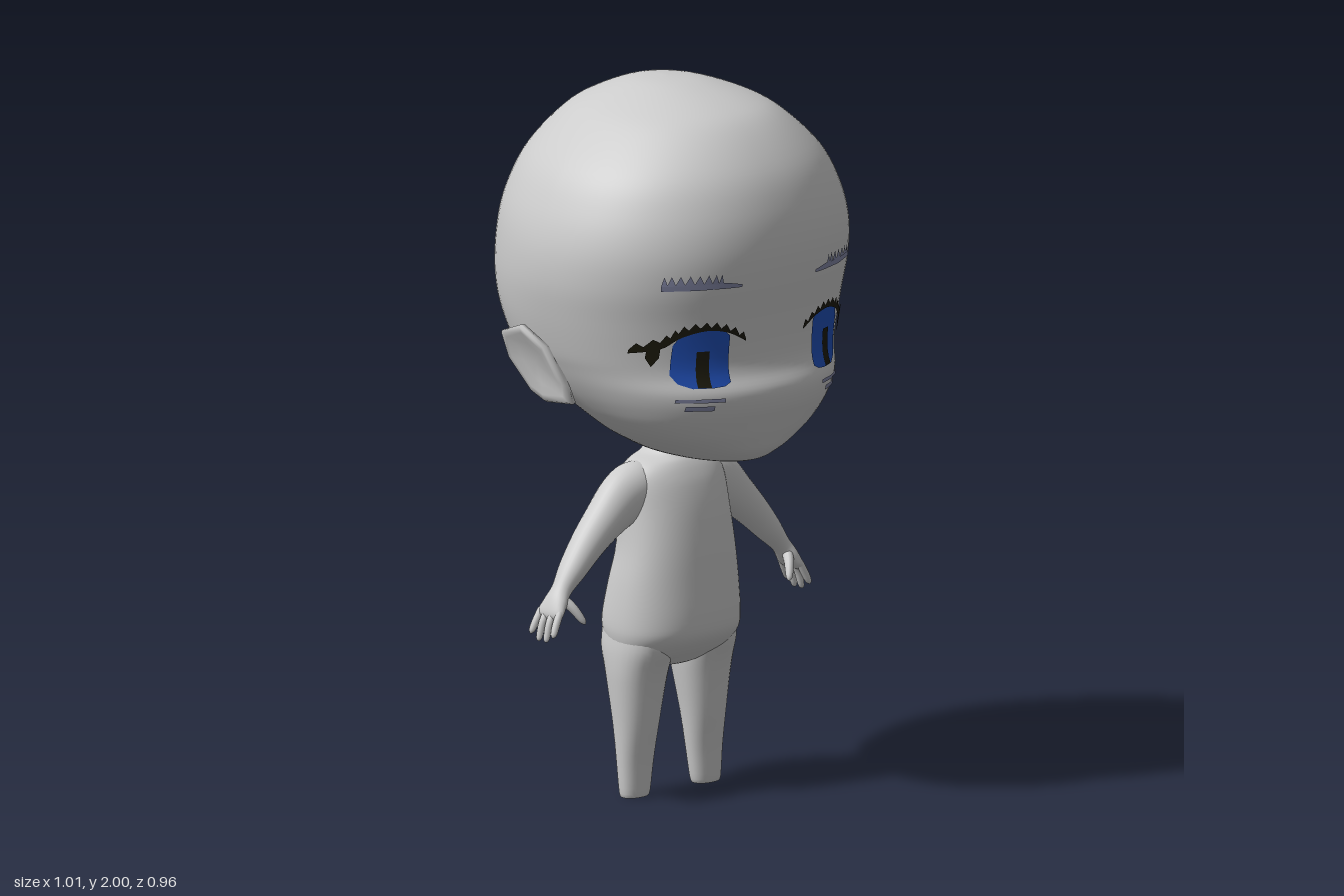
import * as THREE from 'three';
import { mergeVertices } from 'three/addons/utils/BufferGeometryUtils.js';

const paint = (name, color, side = THREE.FrontSide) => {
  const m = new THREE.MeshStandardMaterial({ color, side });
  m.name = name;
  return m;
};

// Smooth interpolation through table rows; t runs from 0 to rows.length - 1
function sample(rows, t) {
  const last = rows.length - 1;
  const i = Math.min(Math.floor(t), last - 1), f = t - i;
  const at = k => rows[Math.max(0, Math.min(last, k))];
  return rows[0].map((_, c) => {
    const [a, b, d, e] = [at(i - 1)[c], at(i)[c], at(i + 1)[c], at(i + 2)[c]];
    return b + 0.5 * f * (d - a + f * (2 * a - 5 * b + 4 * d - e + f * (3 * (b - d) + e - a)));
  });
}

function sampleAll(rows, steps) {
  const n = (rows.length - 1) * steps;
  return Array.from({ length: n + 1 }, (_, i) => sample(rows, i / steps));
}

function build(positions, index) {
  const g = new THREE.BufferGeometry();
  g.setAttribute('position', new THREE.Float32BufferAttribute(positions, 3));
  g.setIndex(index);
  const merged = mergeVertices(g, 1e-5);
  merged.computeVertexNormals();
  return merged;
}

// Skin a list of closed rings
function loft(rings) {
  const n = rings[0].length, index = [];
  for (let r = 0; r < rings.length - 1; r++) {
    for (let i = 0; i < n; i++) {
      const a = r * n + i, b = r * n + (i + 1) % n;
      index.push(a, a + n, b, b, a + n, b + n);
    }
  }
  return build(rings.flat(2), index);
}

// Horizontal superellipse sections: [y, halfWidth, frontZ, backZ, widestZ]
function stack(rows, sides, steps, power, backPower = () => power, centreX = () => 0) {
  const curve = (v, p) => Math.sign(v) * Math.abs(v) ** (2 / p);
  return loft(sampleAll(rows, steps).map(([y, w, f, b, zc = (f + b) / 2]) =>
    Array.from({ length: sides }, (_, i) => {
      const a = i / sides * Math.PI * 2, front = i <= sides / 2, p = front ? power : backPower(y);
      return [centreX(y) + w * curve(Math.cos(a), p), y,
        zc + (front ? f - zc : zc - b) * curve(Math.sin(a), p)];
    })));
}

// Round limb along a path: [x, y, z, radius, depthRadius]
function limb(rows, sides, steps) {
  const path = sampleAll(rows, steps);
  const P = path.map(p => new THREE.Vector3(p[0], p[1], p[2]));
  return loft(path.map((p, k) => {
    const t = P[Math.min(k + 1, P.length - 1)].clone().sub(P[Math.max(k - 1, 0)]).normalize();
    const u = t.clone().cross(new THREE.Vector3(0, 0, 1)).normalize();
    const v = u.clone().cross(t);
    return Array.from({ length: sides }, (_, i) => {
      const a = i / sides * Math.PI * 2;
      return P[k].clone().addScaledVector(u, Math.cos(a) * p[3])
        .addScaledVector(v, Math.sin(a) * p[4]).toArray();
    });
  }));
}

function mirror(g) {
  const m = g.clone().scale(-1, 1, 1), ix = m.index.array;
  for (let i = 0; i < ix.length; i += 3) [ix[i], ix[i + 1]] = [ix[i + 1], ix[i]];
  m.computeVertexNormals();
  return m;
}

// Head sections, neck to crown
const FACE_POWER = 2.12;
const HEAD = [
  [0.94, 0.055, 0.085, -0.057, 0.014], [0.965, 0.06, 0.1, -0.058, 0.02],
  [0.97, 0.1, 0.32, -0.058, 0.13], [1.0, 0.175, 0.39, -0.062, 0.16],
  [1.05, 0.272, 0.425, -0.075, 0.165], [1.1, 0.335, 0.45, -0.115, 0.15],
  [1.15, 0.375, 0.472, -0.19, 0.12], [1.2, 0.405, 0.478, -0.28, 0.09],
  [1.25, 0.428, 0.456, -0.335, 0.065], [1.3, 0.447, 0.45, -0.38, 0.05],
  [1.4, 0.473, 0.46, -0.445, 0.04], [1.5, 0.49, 0.478, -0.475, 0.04],
  [1.6, 0.487, 0.485, -0.475, 0.04], [1.7, 0.458, 0.47, -0.445, 0.035],
  [1.8, 0.402, 0.428, -0.39, 0.03], [1.9, 0.296, 0.342, -0.295, 0.02],
  [1.95, 0.212, 0.253, -0.21, 0.01], [1.99, 0.096, 0.112, -0.1, 0.004], [2, 0, 0, 0, 0],
];
// The back of the skull is boxy near the jaw and narrows higher up
const skullPower = y => 2.16 + 0.34 * Math.cos((Math.min(y, 1.6) - 1.12) * 6.5);

// Front surface of the head at a given x and y
function faceZ(x, y) {
  let lo = 2, hi = HEAD.length - 1;
  for (let k = 0; k < 30; k++) {
    const mid = (lo + hi) / 2;
    if (sample(HEAD, mid)[0] < y) lo = mid; else hi = mid;
  }
  const [, w, f, , zc] = sample(HEAD, lo);
  return zc + (f - zc) * Math.max(0, 1 - Math.abs(x / w) ** FACE_POWER) ** (1 / FACE_POWER);
}

// Painted patch hugging the face; columns are [distance from the face's middle, lowY, highY]
function patch(columns, side, lift) {
  const cols = [], V = 6, pos = [], index = [];
  columns.forEach((c, i) => {
    if (i) cols.push(c.map((v, k) => (v + columns[i - 1][k]) / 2));
    cols.push(c);
  });
  if (side < 0) cols.reverse();
  cols.forEach(([d, lo, hi], i) => {
    for (let j = 0; j <= V; j++) {
      const x = side * d - 0.017, y = lo + (hi - lo) * j / V, a = i * (V + 1) + j;
      pos.push(x, y, faceZ(x, y) + lift);
      if (i < cols.length - 1 && j < V) index.push(a, a + V + 1, a + 1, a + 1, a + V + 1, a + V + 2);
    }
  });
  return build(pos, index);
}

// Adds hair-like spikes to the upper edge of a band
function spiky(band, count, height) {
  return Array.from({ length: count * 2 + 1 }, (_, i) => {
    const [x, lo, hi] = sample(band, i / (count * 2) * (band.length - 1));
    return [x, lo, hi + (i % 2 ? height : 0)];
  });
}

// Thin angular ear, turned a little forward and leaning outward
function earGeometry() {
  const outline = [[0.055, 1.2], [0.013, 1.31], [-0.055, 1.365], [-0.122, 1.34],
    [-0.114, 1.265], [-0.06, 1.17], [-0.02, 1.143], [0.064, 1.147]];
  const steps = [[0, -0.03], [0.97, -0.025], [1, -0.01], [0.95, 0], [0.8, 0], [0.5, -0.01], [0, -0.012]];
  return loft(steps.map(([s, dx]) => outline.map(([pz, py]) => {
    const y = 1.255 + (py - 1.255) * s, z = -0.035 + (pz + 0.035) * s;
    return [0.437 + 0.27 * (y - 1.15) - 0.2 * (z + 0.03) + dx, y, z];
  })));
}

export function createModel() {
  const skin = paint('skin', 0xcccccc);
  const blue = paint('iris blue', 0x2150b8, THREE.DoubleSide);
  const dark = paint('lash black', 0x1c1a0c, THREE.DoubleSide);
  const brow = paint('brow grey', 0x8387a5, THREE.DoubleSide);
  const model = new THREE.Group();
  model.name = 'figure';
  const add = (name, g, m) => {
    const mesh = new THREE.Mesh(g, m);
    mesh.name = name;
    model.add(mesh);
  };
  const pair = (name, g) => {
    add(name + 'Left', g, skin);
    add(name + 'Right', mirror(g), skin);
  };
  add('head', stack(HEAD, 96, 5, FACE_POWER, skullPower), skin);

  // Torso with a round belly, seat and sloping shoulders
  add('torso', stack([
    [0.354, 0, 0.02, 0.02], [0.36, 0.08, 0.07, -0.045], [0.385, 0.155, 0.108, -0.073],
    [0.41, 0.188, 0.142, -0.097], [0.45, 0.203, 0.177, -0.123], [0.5, 0.205, 0.185, -0.132],
    [0.6, 0.195, 0.18, -0.11], [0.7, 0.18, 0.172, -0.087], [0.8, 0.172, 0.158, -0.1],
    [0.87, 0.168, 0.14, -0.096], [0.91, 0.155, 0.122, -0.078], [0.935, 0.125, 0.105, -0.064],
    [0.95, 0.075, 0.09, -0.058], [0.97, 0.055, 0.085, -0.056],
  ], 56, 4, 2.2), skin);

  // Tapered legs, open at the ankles
  pair('leg', stack([
    [0, 0.038, 0.048, -0.003], [0.012, 0.048, 0.054, -0.01], [0.1, 0.0575, 0.06, -0.02],
    [0.2, 0.067, 0.075, -0.035], [0.3, 0.079, 0.09, -0.055], [0.36, 0.085, 0.104, -0.07],
    [0.42, 0.086, 0.125, -0.09], [0.48, 0.08, 0.13, -0.09],
  ], 32, 4, 2.2, () => 2.2, y => 0.134 - 0.037 * y));

  // Arms flowing into the palms
  pair('arm', limb([
    [0.07, 0.875, 0.018, 0.055, 0.055], [0.125, 0.864, 0.018, 0.075, 0.068],
    [0.18, 0.838, 0.018, 0.076, 0.063], [0.25, 0.785, 0.018, 0.059, 0.055],
    [0.31, 0.732, 0.019, 0.048, 0.049], [0.37, 0.67, 0.022, 0.037, 0.041],
    [0.412, 0.623, 0.025, 0.026, 0.031], [0.437, 0.59, 0.026, 0.023, 0.041],
    [0.457, 0.558, 0.024, 0.015, 0.045], [0.464, 0.545, 0.023, 0, 0],
  ], 28, 5));

  // Fingers and thumb
  for (let i = 0; i < 4; i++) {
    const z = 0.06 - 0.0245 * i, zTip = 0.066 - 0.0287 * i, tip = i % 3 ? 0.487 : 0.503;
    pair('finger' + (i + 1), limb([
      [0.452, 0.57, z, 0.01, 0.011], [0.47, 0.537, (z + zTip) / 2, 0.011, 0.011],
      [0.482, tip + 0.009, zTip, 0.008, 0.009], [0.486, tip, zTip, 0, 0],
    ], 12, 4));
  }
  pair('thumb', limb([
    [0.425, 0.602, 0.04, 0.014, 0.016], [0.408, 0.575, 0.066, 0.013, 0.014],
    [0.39, 0.541, 0.086, 0.009, 0.009], [0.385, 0.531, 0.091, 0, 0],
  ], 12, 4));
  pair('ear', earGeometry());

  // Painted eyes and brows, drawn slightly off the middle line
  for (const [label, s] of [['Left', 1], ['Right', -1]]) {
    const mark = (name, columns, lift, m) => add(name + label, patch(columns, s, lift), m);
    mark('iris', [[0.152, 1.235, 1.365], [0.17, 1.225, 1.38], [0.2, 1.222, 1.39],
      [0.25, 1.222, 1.39], [0.28, 1.235, 1.375], [0.296, 1.26, 1.345]], 0.005, blue);
    mark('pupil', [[0.207, 1.224, 1.325], [0.24, 1.224, 1.325]], 0.008, dark);
    mark('lash', spiky([[0.105, 1.345, 1.351], [0.16, 1.374, 1.381], [0.22, 1.384, 1.393],
      [0.28, 1.368, 1.384], [0.32, 1.337, 1.357], [0.378, 1.322, 1.333]], 11, 0.016), 0.008, dark);
    mark('lashTuft', [[0.322, 1.31, 1.345], [0.335, 1.285, 1.34], [0.348, 1.31, 1.34]], 0.008, dark);
    mark('browBar', [[0.135, 1.503, 1.511], [0.18, 1.503, 1.52], [0.34, 1.503, 1.52]], 0.006, brow);
    mark('browHairs', spiky([[0.19, 1.518, 1.521], [0.34, 1.518, 1.521]], 8, 0.024), 0.006, brow);
    mark('upperCrease', [[0.175, 1.182, 1.193], [0.288, 1.182, 1.193]], 0.007, brow);
    mark('lowerCrease', [[0.2, 1.158, 1.172], [0.265, 1.158, 1.172]], 0.007, brow);
  }
  return model;
}
